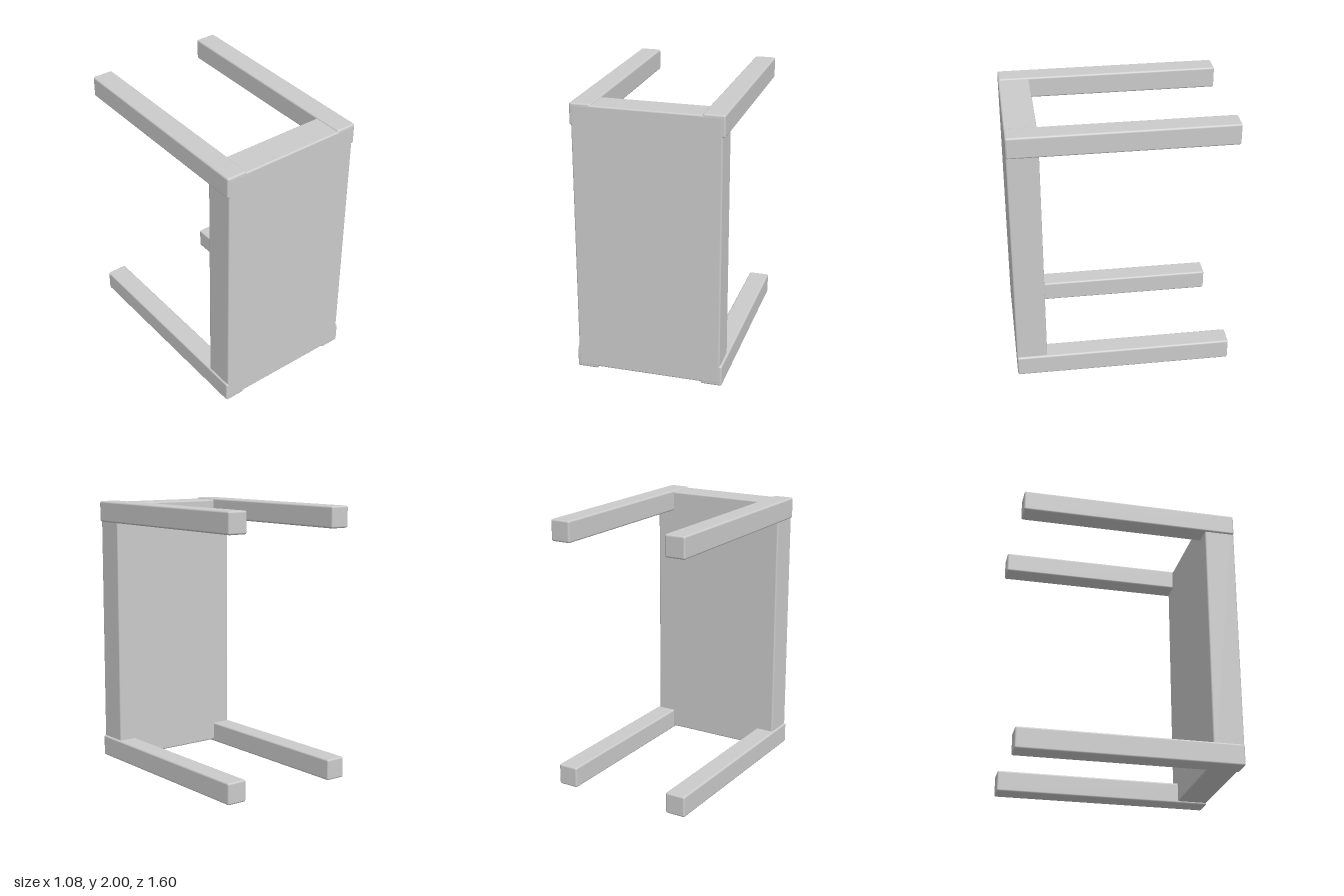
import * as THREE from 'three';
import { RoundedBoxGeometry } from 'three/addons/geometries/RoundedBoxGeometry.js';

const material = new THREE.MeshStandardMaterial({ color: 0xcccccc });

// Softly rounded box given by its lower and upper corners
function block(name, min, max, radius) {
  const size = max.map((v, i) => v - min[i]);
  const mesh = new THREE.Mesh(new RoundedBoxGeometry(...size, 3, radius), material);
  mesh.position.set(...max.map((v, i) => (v + min[i]) / 2));
  mesh.name = name;
  return mesh;
}

export function createModel() {
  const group = new THREE.Group();
  group.name = 'tableOnItsSide';

  // Thick table top standing upright at the front
  group.add(block('tableTop', [-0.528, 0.016, 0.575], [0.524, 1.99, 0.8], 0.012));

  // Four square legs pointing backwards, one at each corner
  for (const [side, x] of [['Right', -0.54], ['Left', 0.385]]) {
    for (const [level, y] of [['lower', 0], ['upper', 1.843]]) {
      group.add(block(`${level}${side}Leg`, [x, y, -0.8], [x + 0.155, y + 0.157, 0.799], 0.014));
    }
  }
  return group;
}
